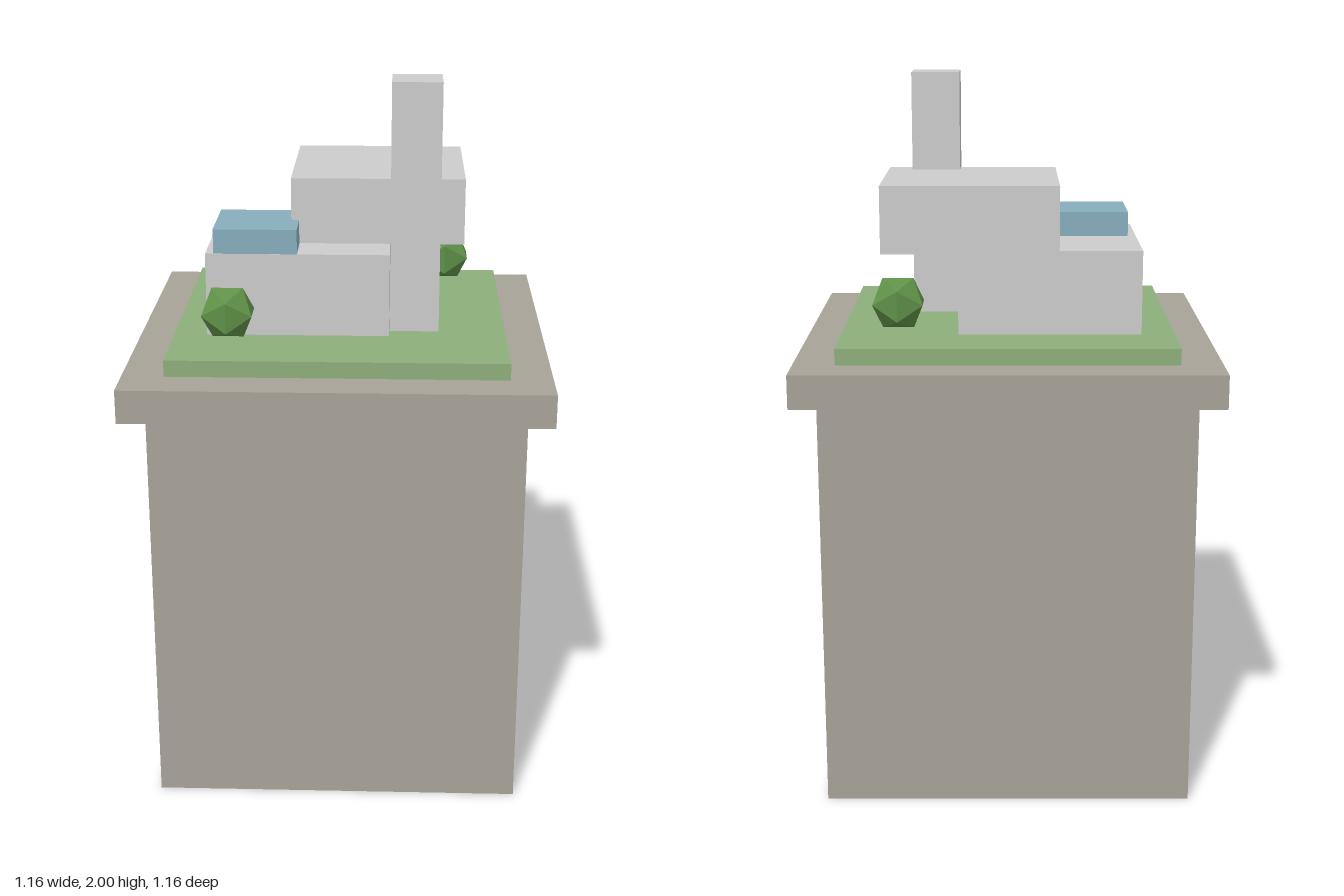
import * as THREE from 'three';

export function createModel() {
  const group = new THREE.Group();
  const material = (color) => new THREE.MeshStandardMaterial({ color, flatShading: true });
  const stone = material(0xa8a298);
  const grass = material(0x8dae7a);
  const concrete = material(0xcccccc);
  const water = material(0x88adbd);
  const leaves = material(0x5f9048);

  // Box given by its limits on each axis
  function box(name, mat, [x0, x1], [y0, y1], [z0, z1]) {
    const mesh = new THREE.Mesh(new THREE.BoxGeometry(x1 - x0, y1 - y0, z1 - z0), mat);
    mesh.position.set((x0 + x1) / 2, (y0 + y1) / 2, (z0 + z1) / 2);
    mesh.name = name;
    group.add(mesh);
  }

  // Plinth with overhanging cap and lawn
  box('plinth', stone, [-0.512, 0.512], [0, 1.163], [-0.512, 0.512]);
  box('plinthCap', stone, [-0.58, 0.58], [1.163, 1.256], [-0.58, 0.58]);
  box('lawn', grass, [-0.465, 0.465], [1.256, 1.302], [-0.465, 0.465]);

  // House: two offset storeys, a tower and a rooftop pool
  box('lowerStorey', concrete, [-0.372, 0.138], [1.302, 1.535], [-0.28, 0.232]);
  box('upperStorey', concrete, [-0.14, 0.346], [1.537, 1.722], [-0.349, 0.115]);
  box('tower', concrete, [0.139, 0.277], [1.302, 2], [0.045, 0.184]);
  box('pool', water, [-0.349, -0.118], [1.535, 1.604], [0, 0.231]);

  // Bushes at opposite corners of the lawn
  for (const [x, z] of [[-0.303, 0.325], [0.302, -0.303]]) {
    const bush = new THREE.Mesh(new THREE.IcosahedronGeometry(0.081), leaves);
    bush.position.set(x, 1.396, z);
    bush.name = 'bush';
    group.add(bush);
  }

  return group;
}
